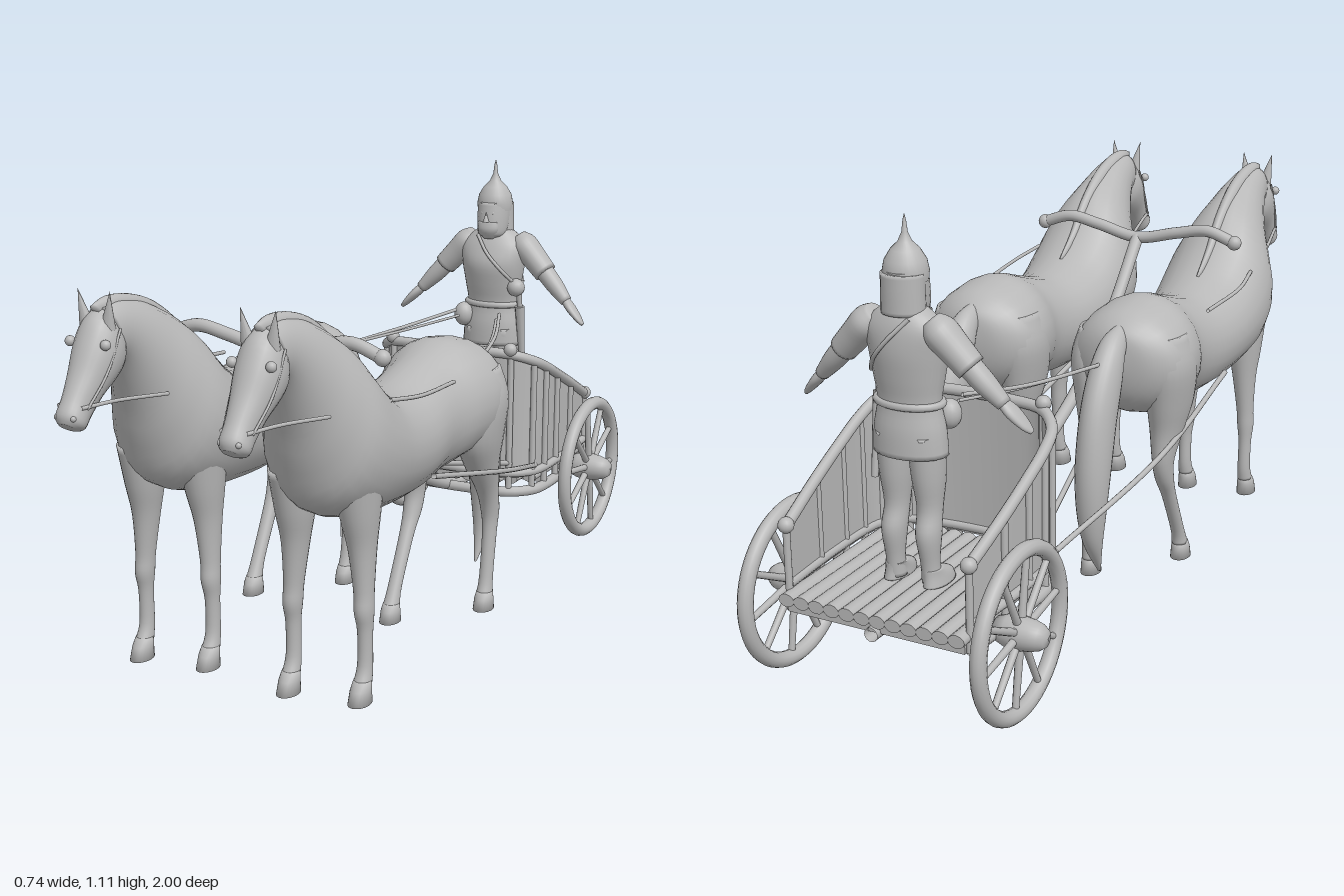
import * as THREE from 'three';

const V = (x, y, z) => new THREE.Vector3(x, y, z);
const stone = new THREE.MeshStandardMaterial({ color: 0xb8b8b8, side: THREE.DoubleSide });
stone.name = 'stone grey';

function add(parent, name, geo, x = 0, y = 0, z = 0) {
  const m = new THREE.Mesh(geo, stone);
  m.name = name;
  m.position.set(x, y, z);
  parent.add(m);
  return m;
}
function group(parent, name, x = 0, y = 0, z = 0) {
  const g = new THREE.Group();
  g.name = name;
  g.position.set(x, y, z);
  if (parent) parent.add(g);
  return g;
}
const tube = (pts, r, seg = 24, sides = 10) =>
  new THREE.TubeGeometry(new THREE.CatmullRomCurve3(pts.map(p => V(...p)), false, 'centripetal'), seg, r, sides);
const ball = r => new THREE.SphereGeometry(r, 16, 12);

// Smooth loft of elliptical rings; row = [z1, y1, z2, y2, halfWidth, x]
// where the two points are opposite ends of the ring in the side plane.
function loft(rows, sub = 4, sides = 24) {
  const pos = [], idx = [], rings = [];
  const at = i => rows[Math.max(0, Math.min(rows.length - 1, i))];
  for (let k = 0; k <= (rows.length - 1) * sub; k++) {
    const i = Math.min(Math.floor(k / sub), rows.length - 2), t = k / sub - i;
    rings.push([0, 1, 2, 3, 4, 5].map(c => {
      const [a, b, d, e] = [at(i - 1), at(i), at(i + 1), at(i + 2)].map(r => r[c] || 0);
      return b + 0.5 * t * (d - a + t * (2 * a - 5 * b + 4 * d - e + t * (3 * (b - d) + e - a)));
    }));
  }
  for (const [z1, y1, z2, y2, w, x] of rings) for (let j = 0; j < sides; j++) {
    const a = j / sides * Math.PI * 2, c = Math.cos(a) / 2;
    pos.push(x + w * Math.sin(a), (y1 + y2) / 2 + c * (y1 - y2), (z1 + z2) / 2 + c * (z1 - z2));
  }
  const n = rings.length;
  for (let i = 0; i < n - 1; i++) for (let j = 0; j < sides; j++) {
    const a = i * sides + j, b = i * sides + (j + 1) % sides;
    idx.push(a, b, a + sides, b, b + sides, a + sides);
  }
  for (const i of [0, n - 1]) { // end caps
    const [z1, y1, z2, y2, , x] = rings[i], c = pos.length / 3;
    pos.push(x, (y1 + y2) / 2, (z1 + z2) / 2);
    for (let j = 0; j < sides; j++) {
      const a = i * sides + j, b = i * sides + (j + 1) % sides;
      i ? idx.push(a, b, c) : idx.push(b, a, c);
    }
  }
  // turn the faces outward whichever way the rings run
  let vol = 0;
  const p = i => V(pos[3 * i], pos[3 * i + 1], pos[3 * i + 2]);
  for (let i = 0; i < idx.length; i += 3) vol += p(idx[i]).dot(p(idx[i + 1]).cross(p(idx[i + 2])));
  if (vol < 0) idx.reverse();
  const g = new THREE.BufferGeometry();
  g.setAttribute('position', new THREE.Float32BufferAttribute(pos, 3));
  g.setIndex(idx);
  g.computeVertexNormals();
  return g;
}
// Upright limb; row = [y, z, halfDepth, halfWidth, x]
const limb = (rows, sub) => loft(rows.map(([y, z, d, w, x]) => [z + d, y, z - d, y, w, x]), sub);

function horse(parent, s) {
  const h = group(parent, 'horse', 0.21 * s);
  add(h, 'bodyAndNeck', loft([
    [-.118, .66, -.118, .60, .02], [-.105, .70, -.10, .53, .085], [-.06, .735, -.06, .48, .142],
    [0, .75, .02, .45, .16], [.07, .755, .10, .44, .15], [.17, .725, .18, .43, .125],
    [.3, .692, .3, .42, .135], [.42, .71, .44, .425, .15], [.50, .765, .58, .44, .158],
    [.55, .82, .68, .49, .15], [.60, .865, .72, .58, .122], [.66, .90, .745, .67, .092],
    [.73, .93, .775, .75, .068], [.81, .945, .80, .80, .052], [.86, .935, .82, .81, .045]]));
  add(h, 'head', loft([
    [.845, .94, .79, .83, .035], [.885, .915, .81, .79, .054], [.915, .87, .84, .765, .054],
    [.945, .81, .885, .735, .043], [.975, .76, .92, .70, .035], [.997, .725, .945, .678, .035],
    [.997, .703, .965, .68, .02]]));
  add(h, 'mane', loft([
    [.42, .715, .44, .68, .006], [.50, .775, .53, .73, .014], [.565, .848, .61, .80, .018],
    [.66, .914, .69, .86, .02], [.75, .946, .76, .90, .02], [.83, .954, .82, .91, .018],
    [.885, .94, .85, .91, .008]]));
  add(h, 'tail', loft([
    [-.08, .715, -.07, .66, .02], [-.15, .695, -.11, .63, .034], [-.215, .63, -.13, .56, .042],
    [-.265, .53, -.155, .48, .044], [-.288, .40, -.185, .37, .044], [-.285, .28, -.205, .27, .038],
    [-.26, .18, -.21, .17, .024], [-.20, .09, -.192, .085, .004]]));
  for (const e of [-1, 1]) {
    const ear = add(h, 'ear', new THREE.ConeGeometry(.019, .085, 12), e * .036, .933, .868);
    ear.rotation.set(.1, 0, -e * .18);
    ear.scale.z = .7;
    add(h, 'eye', ball(.012), e * .048, .862, .9);
    add(h, 'nostril', ball(.007), e * .022, .715, .987);
    // bridle cheek line and short rein
    add(h, 'bitStrap', tube([[e * .03, .735, .97], [e * .052, .735, .88], [e * .085, .722, .73]], .0045));
    add(h, 'cheekStrap', tube([[e * .036, .73, .955], [e * .05, .80, .90], [e * .052, .89, .85]], .003));
    // foreleg
    const f = e > 0 ? -.012 : .018;
    add(h, 'foreleg', limb([
      [.56, .60 + f, .075, .055, e * .075], [.46, .595 + f, .055, .045, e * .076],
      [.38, .59 + f, .038, .033, e * .079], [.28, .592 + f, .027, .024, e * .084],
      [.23, .595 + f, .027, .023, e * .086], [.18, .592 + f, .02, .018, e * .087],
      [.10, .592 + f, .02, .018, e * .087], [.06, .603 + f, .025, .021, e * .087]]));
    add(h, 'foreHoof', limb([[.065, .604 + f, .023, .021, e * .087], [.045, .612 + f, .03, .024, e * .087],
      [.012, .617 + f, .037, .026, e * .087]], 1));
    // hind leg: the left one is set back, the right one steps forward
    add(h, 'hindLeg', limb(e > 0 ? [
      [.68, -.01, .06, .045, .095], [.60, -.005, .09, .062, .10], [.50, -.005, .085, .056, .095],
      [.42, -.03, .06, .042, .09], [.34, -.07, .036, .028, .088], [.28, -.092, .028, .024, .087],
      [.22, -.092, .021, .019, .087], [.10, -.076, .019, .018, .087], [.055, -.068, .025, .021, .087]] : [
      [.68, -.005, .06, .045, -.095], [.60, .005, .09, .062, -.10], [.50, .02, .085, .056, -.095],
      [.42, .015, .06, .042, -.09], [.34, -.002, .036, .028, -.088], [.28, .012, .028, .024, -.087],
      [.22, .045, .021, .019, -.087], [.10, .108, .019, .018, -.087], [.055, .127, .025, .021, -.087]]));
    const z = e > 0 ? -.068 : .128;
    add(h, 'hindHoof', limb([[.06, z, .023, .021, e * .087], [.042, z + .004, .03, .024, e * .087],
      [.012, z + .006, .036, .026, e * .087]], 1));
  }
  // harness
  add(h, 'flankStrap', tube([[s * .118, .715, .52], [s * .132, .70, .4], [s * .12, .688, .2]], .005));
  add(h, 'outerTrace', tube([[s * .035, .28, -.51], [s * .12, .385, -.1], [s * .128, .485, .32]], .007));
  add(h, 'innerTrace', tube([[-s * .02, .28, -.5], [-s * .09, .39, -.05], [-s * .126, .485, .32]], .007));
  add(h, 'rein', tube([[0, .64, -.19], [-s * .07, .655, -.45], [-s * .14, .678, -.63]], .005));
  add(h, 'secondRein', tube([[0, .64, -.19], [-s * .08, .648, -.45], [-s * .15, .662, -.63]], .004));
}

function wheel(parent, s) {
  const w = group(parent, 'wheel', s * .30, .21, -.79);
  const rim = add(w, 'rim', new THREE.TorusGeometry(.191, .019, 12, 56));
  rim.rotation.y = Math.PI / 2;
  for (let i = 0; i < 10; i++) {
    const a = i / 10 * Math.PI * 2 + .16;
    const sp = add(w, 'spoke', new THREE.CylinderGeometry(.008, .010, .18, 10), 0, .1 * Math.cos(a), .1 * Math.sin(a));
    sp.rotation.x = a;
  }
  const hub = add(w, 'hub', new THREE.LatheGeometry([[0, -.06], [.028, -.058], [.038, -.03], [.04, 0],
    [.036, .03], [.03, .05], [.02, .064], [0, .067]].map(p => new THREE.Vector2(...p)), 24));
  hub.rotation.z = -s * Math.PI / 2;
}

function cart(parent) {
  const c = group(parent, 'cart');
  for (const s of [-1, 1]) wheel(c, s);
  const axle = add(c, 'axle', new THREE.CylinderGeometry(.022, .022, .6, 16), 0, .21, -.79);
  axle.rotation.z = Math.PI / 2;
  // floor of rounded planks; the outer ones stop short of the bent front
  for (let i = 0; i < 12; i++) {
    const x = -.22 + .04 * i, front = -.455 - Math.max(0, Math.abs(x) - .15) * 1.0;
    const p = add(c, 'plank', new THREE.CylinderGeometry(.021, .021, front + .935, 12), x, .237, (front - .935) / 2);
    p.rotation.x = Math.PI / 2;
    p.scale.z = .75;
  }
  for (const z of [-.62, -.9]) add(c, 'crossBeam', new THREE.BoxGeometry(.46, .025, .03), 0, .212, z);
  // walls follow this plan line, with a top edge that falls toward the back
  const plan = [[-.235, -.9], [-.245, -.76], [-.248, -.65], [-.247, -.57], [-.235, -.51], [-.185, -.46],
    [-.09, -.444], [0, -.44], [.09, -.444], [.185, -.46], [.235, -.51], [.247, -.57], [.248, -.65], [.245, -.76], [.235, -.9]];
  const top = z => .61 - Math.max(0, -.45 - z) * .46;
  const curve = new THREE.CatmullRomCurve3(plan.map(([x, z]) => V(x, top(z), z)));
  const wall = new THREE.PlaneGeometry(1, 1, 56, 1), wp = wall.attributes.position;
  for (let i = 0; i < wp.count; i++) {
    const q = curve.getPoint(Math.min(1, Math.max(0, wp.getX(i) + .5)));
    wp.setXYZ(i, q.x * .985, wp.getY(i) > 0 ? q.y : .245, q.z - .004);
  }
  wall.computeVertexNormals();
  add(c, 'wallPanel', wall);
  add(c, 'topRail', new THREE.TubeGeometry(curve, 64, .014, 12));
  add(c, 'floorRail', tube(plan.map(([x, z]) => [x, .26, z]), .012, 64));
  add(c, 'frameRail', tube(plan.map(([x, z]) => [x, .205, z]), .015, 64));
  for (const [x, z] of plan) {
    if (Math.abs(x) < .1) continue;
    const h = top(z) - .2;
    add(c, 'post', new THREE.CylinderGeometry(.009, .009, h, 10), x, .2 + h / 2, z);
  }
  for (const s of [-1, 1]) {
    add(c, 'cornerKnob', ball(.019), s * .185, .62, -.455);
    add(c, 'railEnd', ball(.019), s * .235, .405, -.9);
  }
  // draught pole rising to the yoke
  add(c, 'pole', tube([[0, .20, -.93], [0, .197, -.6], [0, .20, -.47], [0, .37, -.07], [0, .455, .11],
    [0, .61, .32], [0, .785, .485]], .017, 48, 14));
  add(c, 'yoke', tube([[-.29, .80, .485], [-.21, .825, .485], [-.12, .81, .485], [0, .785, .485],
    [.12, .81, .485], [.21, .825, .485], [.29, .80, .485]], .016, 48, 14));
  for (const s of [-1, 1]) add(c, 'yokeEnd', ball(.02), s * .29, .80, .485);
}

function driver(parent) {
  const d = group(parent, 'driver', 0, 0, -.74);
  add(d, 'torso', limb([[.57, 0, .062, .092], [.63, 0, .06, .088], [.69, 0, .052, .078], [.75, .002, .062, .086],
    [.81, .003, .07, .096], [.86, -.004, .06, .10], [.895, -.008, .045, .07], [.915, -.005, .034, .036]]));
  const belt = add(d, 'belt', new THREE.TorusGeometry(.07, .009, 8, 32), 0, .69, 0);
  belt.rotation.x = Math.PI / 2;
  belt.scale.set(1.13, .77, 1);
  add(d, 'head', limb([[.885, .008, .03, .03], [.90, .015, .045, .042], [.94, .008, .052, .047], [.99, 0, .052, .048]]));
  add(d, 'nose', new THREE.ConeGeometry(.010, .03, 8), 0, .95, .062);
  add(d, 'beard', limb([[.935, .045, .016, .03], [.91, .045, .02, .032], [.885, .04, .012, .016]]));
  add(d, 'helmet', new THREE.LatheGeometry([[.05, .965], [.052, .985], [.047, 1.01], [.033, 1.033], [.016, 1.05],
    [.007, 1.07], [.004, 1.095], [0, 1.112]].map(p => new THREE.Vector2(...p)), 28));
  add(d, 'neckGuard', limb([[.985, -.012, .045, .051], [.94, -.014, .044, .051], [.895, -.014, .044, .052]]));
  for (const s of [-1, 1]) {
    add(d, 'eye', ball(.005), s * .017, .96, .049);
    add(d, 'leg', limb([[.62, 0, .052, .042, s * .04], [.52, .004, .046, .038, s * .042], [.44, .004, .034, .029, s * .043],
      [.38, -.008, .035, .029, s * .045], [.31, -.006, .025, .022, s * .046], [.26, 0, .027, .024, s * .047]]));
    add(d, 'boot', limb([[.295, -.002, .027, .025, s * .047], [.275, .018, .048, .027, s * .05], [.253, .022, .056, .029, s * .052]]));
    // arms held out and down
    const a = group(d, 'arm', s * .083, .872, -.015);
    a.rotation.set(-.1, 0, s * .76);
    add(a, 'sleeve', limb([[.02, 0, .025, .025], [-.01, 0, .043, .038], [-.06, 0, .04, .036], [-.115, 0, .036, .033]]));
    add(a, 'forearm', limb([[-.10, 0, .028, .027], [-.16, .002, .027, .025], [-.22, .006, .018, .017]]));
    add(a, 'hand', limb([[-.215, .006, .016, .012], [-.245, .01, .023, .013], [-.285, .014, .017, .009], [-.305, .016, .006, .005]]));
  }
  add(d, 'chestStrap', tube([[-.035, .893, .04], [.01, .845, .072], [.05, .80, .066], [.085, .755, .035]], .005));
  add(d, 'backStrap', tube([[-.035, .893, -.05], [.01, .845, -.07], [.05, .80, -.062], [.085, .755, -.02]], .005));
  add(d, 'pouch', ball(.026), .085, .745, .03);
  add(d, 'hipBag', ball(.028), -.075, .655, .045).scale.y = 1.25;
  // sheathed blade on the left hip
  const blade = group(d, 'sheath', .096, .59, .01);
  blade.rotation.x = .15;
  add(blade, 'scabbard', new THREE.CylinderGeometry(.014, .008, .2, 10));
  add(blade, 'grip', new THREE.CylinderGeometry(.008, .008, .06, 10), 0, .13, 0);
  add(blade, 'pommel', ball(.012), 0, .165, 0);
}

export function createModel() {
  const model = group(null, 'horseDrawnChariot');
  for (const s of [-1, 1]) horse(model, s);
  cart(model);
  driver(model);
  return model;
}
